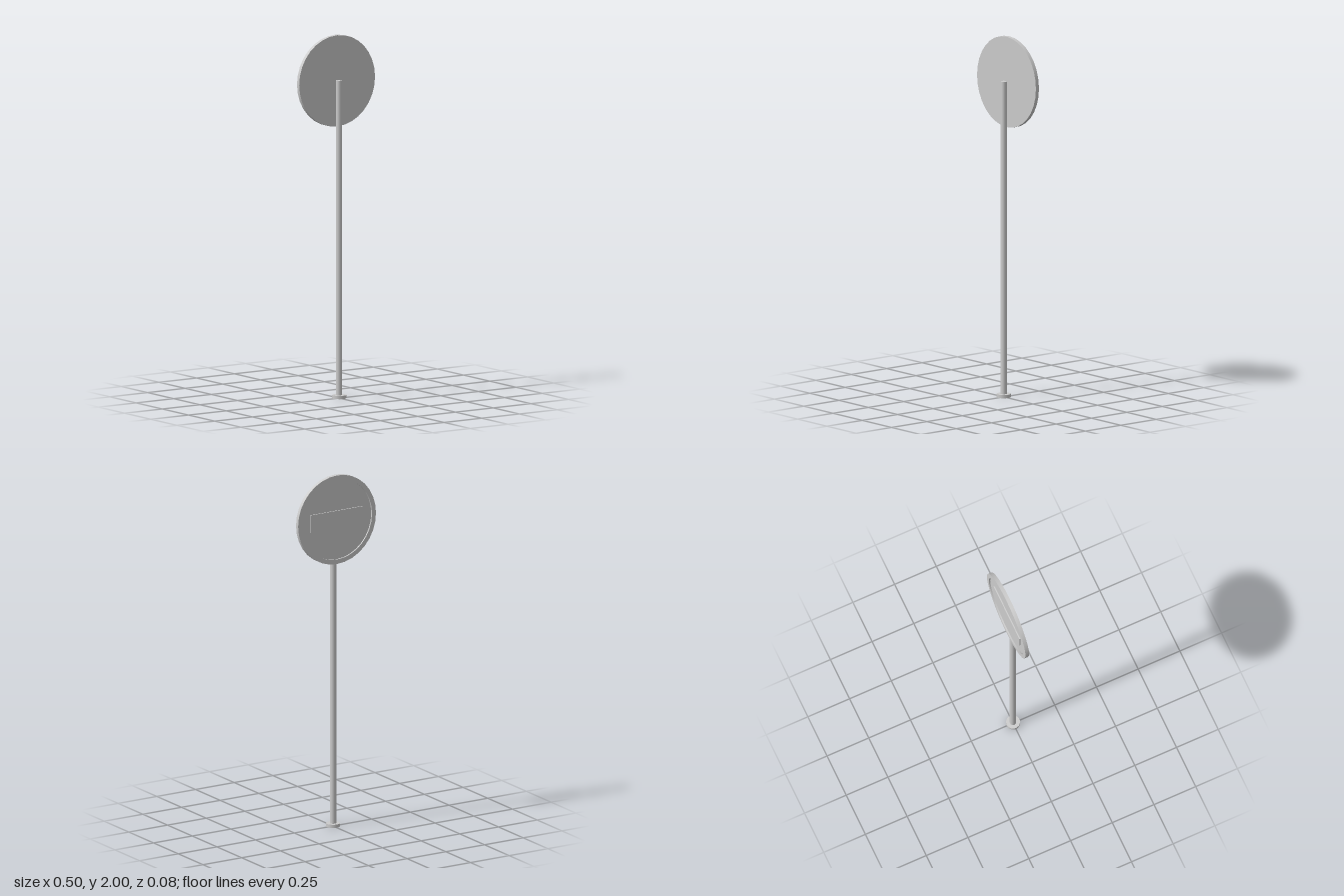
import * as THREE from 'three';
import { toCreasedNormals } from 'three/addons/utils/BufferGeometryUtils.js';

export function createModel() {
  const model = new THREE.Group();
  const material = new THREE.MeshStandardMaterial({ color: 0xcccccc });

  const add = (name, geometry, x, y, z) => {
    const mesh = new THREE.Mesh(geometry, material);
    mesh.name = name;
    mesh.position.set(x, y, z);
    model.add(mesh);
    return mesh;
  };

  // Foot and post
  const baseHeight = 0.018;
  add('base', new THREE.CylinderGeometry(0.039, 0.039, baseHeight, 12), 0, baseHeight / 2, 0);
  const postHeight = 1.754;
  add('post', new THREE.CylinderGeometry(0.0175, 0.0175, postHeight, 16), 0, postHeight / 2, -0.001);

  // Round plate: flat towards +z, raised rim around a shallow recess towards -z
  const radius = 0.2515, thickness = 0.0215, recess = 0.008, inner = 0.226;
  const profile = [
    [0, 0], [radius, 0], [radius, thickness], [inner, thickness],
    [inner, thickness - recess], [0, thickness - recess],
  ].map(([r, h]) => new THREE.Vector2(r, h));
  const plateGeometry = toCreasedNormals(new THREE.LatheGeometry(profile, 32), 0.6);
  plateGeometry.rotateX(-Math.PI / 2);
  const plateY = 2 - radius, plateZ = -0.0195;
  add('signPlate', plateGeometry, 0, plateY, plateZ);

  // Raised bar across the recessed face
  const barDepth = 0.006;
  add('signBar', new THREE.BoxGeometry(0.335, 0.1, barDepth), 0, plateY,
    plateZ - (thickness - recess) - barDepth / 2);

  return model;
}
